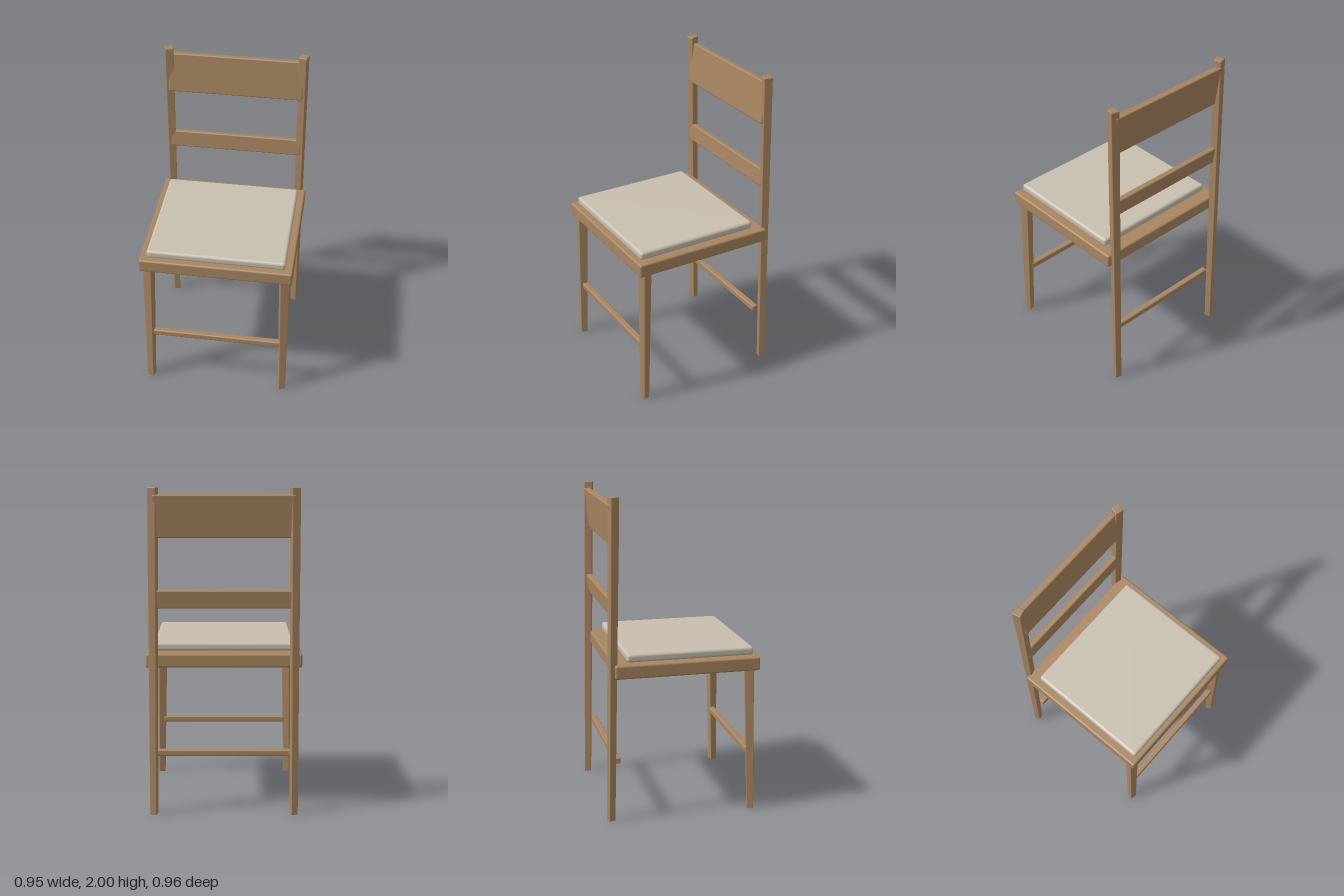
import * as THREE from 'three';
import { RoundedBoxGeometry } from 'three/addons/geometries/RoundedBoxGeometry.js';

const wood = new THREE.MeshStandardMaterial({ color: 0xa88660 });
const fabric = new THREE.MeshStandardMaterial({ color: 0xc8bfaf });

// Box with softened edges
function softBox(name, size, position, radius, material = wood) {
  const mesh = new THREE.Mesh(new RoundedBoxGeometry(...size, 3, radius), material);
  mesh.name = name;
  mesh.position.set(...position);
  return mesh;
}

// Square leg, turned by yaw, running from a foot to a wider head
function taperedLeg(name, foot, head, yaw) {
  const height = head.y - foot.y;
  const geo = new RoundedBoxGeometry(head.w, height, head.w, 2, 0.005);
  const pos = geo.attributes.position;
  const cos = Math.cos(yaw), sin = Math.sin(yaw);
  for (let i = 0; i < pos.count; i++) {
    const t = pos.getY(i) / height + 0.5;
    const s = THREE.MathUtils.lerp(foot.w, head.w, t) / head.w;
    const x = pos.getX(i) * s, z = pos.getZ(i) * s;
    pos.setXYZ(i,
      THREE.MathUtils.lerp(foot.x, head.x, t) + x * cos + z * sin,
      foot.y + t * height,
      THREE.MathUtils.lerp(foot.z, head.z, t) - x * sin + z * cos);
  }
  geo.rotateY(0);
  // Turn the normals with the leg
  const normal = geo.attributes.normal;
  const n = new THREE.Vector3(), up = new THREE.Vector3(0, 1, 0);
  for (let i = 0; i < normal.count; i++) {
    n.fromBufferAttribute(normal, i).applyAxisAngle(up, yaw);
    normal.setXYZ(i, n.x, n.y, n.z);
  }
  const mesh = new THREE.Mesh(geo, wood);
  mesh.name = name;
  return mesh;
}

export function createModel() {
  const chair = new THREE.Group();
  chair.name = 'chair';

  // Seat and cushion
  chair.add(softBox('seat', [0.95, 0.085, 0.905], [0, 0.9575, 0.0275], 0.012));
  chair.add(softBox('cushion', [0.86, 0.052, 0.795], [0, 1.029, 0.0525], 0.018, fabric));

  // Legs, the rear pair rising into back posts
  for (const [label, side] of [['left', 1], ['right', -1]]) {
    chair.add(taperedLeg(label + 'BackPost',
      { x: side * 0.431, y: 0, z: -0.456, w: 0.041 },
      { x: side * 0.422, y: 2, z: -0.415, w: 0.053 }, -side * 0.26));
    chair.add(taperedLeg(label + 'FrontLeg',
      { x: side * 0.436, y: 0, z: 0.442, w: 0.042 },
      { x: side * 0.424, y: 0.94, z: 0.422, w: 0.059 }, side * 0.26));
  }

  // Leaning back rails
  for (const [name, height, depth, y, z] of [
    ['topRail', 0.257, 0.04, 1.83, -0.416],
    ['middleRail', 0.11, 0.036, 1.335, -0.421],
  ]) {
    const rail = softBox(name, [0.85, height, depth], [0, y, z], 0.008);
    rail.rotation.x = -0.108;
    chair.add(rail);
  }

  // Stretchers between the legs
  chair.add(softBox('frontStretcher', [0.83, 0.04, 0.04], [0, 0.38, 0.428], 0.009));
  chair.add(softBox('backStretcher', [0.83, 0.04, 0.04], [0, 0.38, -0.408], 0.009));

  return chair;
}
